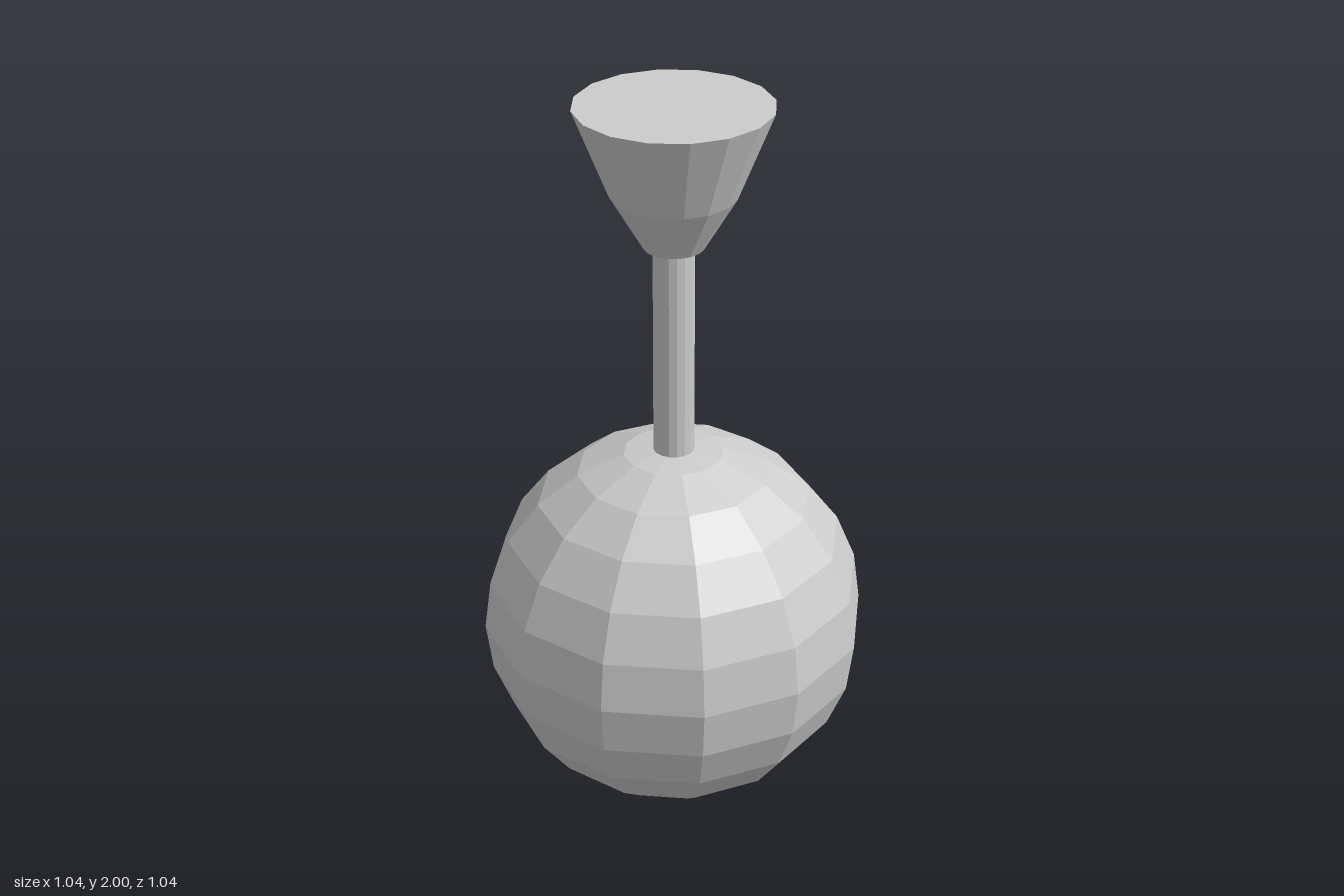
import * as THREE from 'three';

export function createModel() {
  const group = new THREE.Group();
  const material = new THREE.MeshStandardMaterial({ color: 0xcccccc, flatShading: true });
  const add = (name, geometry, y = 0) => {
    const mesh = new THREE.Mesh(geometry, material);
    mesh.name = name;
    mesh.position.y = y;
    group.add(mesh);
  };

  // Faceted ball resting on the ground
  const radius = 0.521;
  add('ball', new THREE.SphereGeometry(radius, 12, 12), radius);

  // Thin stem from the ball up into the cup
  const stemBottom = 1.0, stemTop = 1.64;
  add('stem', new THREE.CylinderGeometry(0.055, 0.055, stemTop - stemBottom, 16), (stemBottom + stemTop) / 2);

  // Closed flared cup: flat underside, two sloped bands, flat top
  const profile = [[0, 1.62], [0.08, 1.62], [0.165, 1.765], [0.258, 2], [0, 2]];
  add('cup', new THREE.LatheGeometry(profile.map(([r, y]) => new THREE.Vector2(r, y)), 16));

  return group;
}
